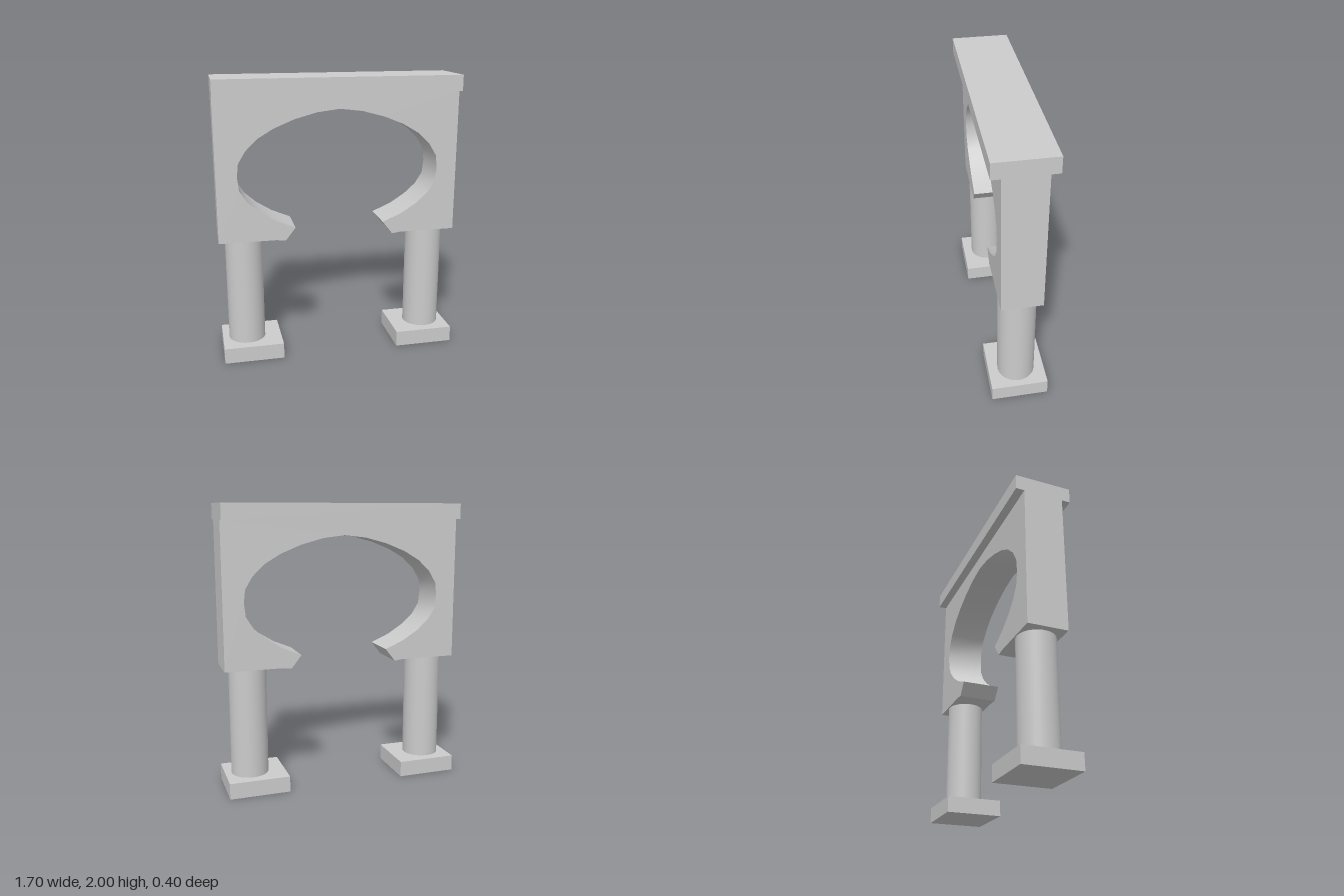
import * as THREE from 'three';
import { toCreasedNormals } from 'three/addons/utils/BufferGeometryUtils.js';

export function createModel() {
  const group = new THREE.Group();
  const material = new THREE.MeshStandardMaterial({ color: 0xcccccc });

  const add = (name, geometry, x, y, z) => {
    const mesh = new THREE.Mesh(geometry, material);
    mesh.name = name;
    mesh.position.set(x, y, z);
    group.add(mesh);
    return mesh;
  };

  // Half outline of the opening, from its crown to the lip of the foot
  const arch = [
    [0, 1.785], [0.157, 1.766], [0.312, 1.724], [0.45, 1.668], [0.56, 1.603],
    [0.645, 1.522], [0.697, 1.437], [0.707, 1.346], [0.697, 1.253], [0.645, 1.17],
    [0.56, 1.094], [0.45, 1.025], [0.316, 0.968],
  ];
  // Chamfered lip and outer corner of the foot
  const foot = [[0.387, 0.877], [0.45, 0.885], [0.85, 0.885], [0.85, 1.89]];
  const half = [...arch, ...foot];
  const mirrored = half.slice(1).reverse().map(([x, y]) => [-x, y]);
  const outline = [...half, ...mirrored].map(([x, y]) => new THREE.Vector2(x, y));

  // Arched wall
  const depth = 0.28;
  const wall = new THREE.ExtrudeGeometry(new THREE.Shape(outline), { depth, bevelEnabled: false });
  add('archWall', toCreasedNormals(wall, 0.6), 0, 0, -depth / 2);

  // Overhanging top slab
  add('topSlab', new THREE.BoxGeometry(1.7, 0.11, 0.4), 0, 1.945, 0);

  // Round column on a square plinth, each side
  for (const [side, s] of [['left', 1], ['right', -1]]) {
    add(side + 'Column', new THREE.CylinderGeometry(0.132, 0.132, 0.775, 32), s * 0.671, 0.4995, 0);
    add(side + 'Plinth', new THREE.BoxGeometry(0.425, 0.113, 0.4), s * 0.6375, 0.0565, 0);
  }

  return group;
}
